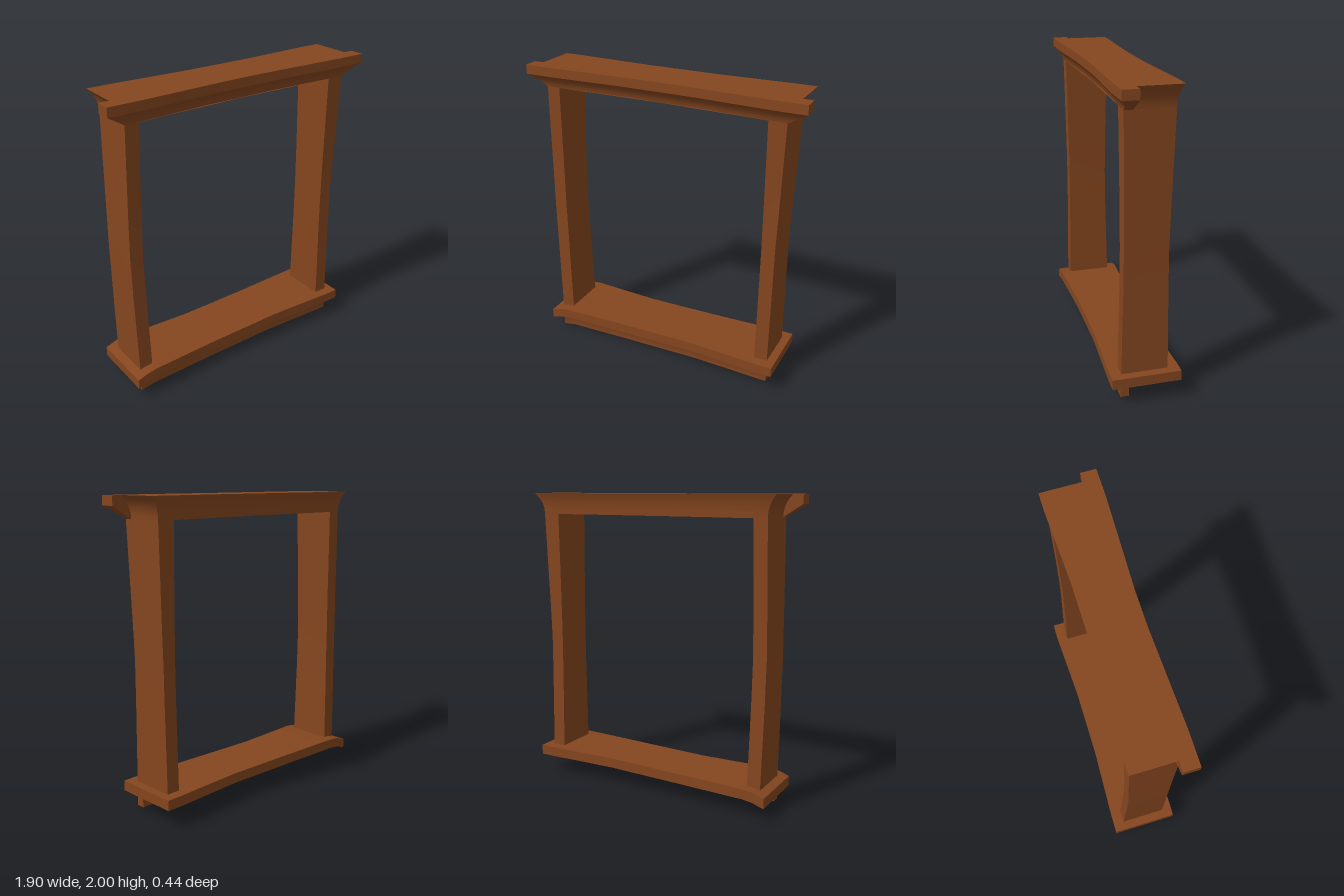
import * as THREE from 'three';
import { toCreasedNormals } from 'three/addons/utils/BufferGeometryUtils.js';

// Piecewise-linear lookup through [x, value] pairs
function along(pairs, x) {
  if (x <= pairs[0][0]) return pairs[0][1];
  for (let i = 1; i < pairs.length; i++) {
    const [x0, v0] = pairs[i - 1], [x1, v1] = pairs[i];
    if (x <= x1) return v0 + (v1 - v0) * (x - x0) / (x1 - x0);
  }
  return pairs[pairs.length - 1][1];
}

// Closed solid through a list of rings, capped at both ends
function loft(rings) {
  const tris = [];
  const n = rings[0].length;
  for (let r = 0; r < rings.length - 1; r++) {
    for (let i = 0; i < n; i++) {
      const j = (i + 1) % n;
      const a = rings[r][i], b = rings[r][j], c = rings[r + 1][j], d = rings[r + 1][i];
      tris.push([a, b, c], [a, c, d]);
    }
  }
  for (const [ring, flip] of [[rings[0], true], [rings[rings.length - 1], false]]) {
    const mid = ring.reduce((s, p) => s.add(p), new THREE.Vector3()).divideScalar(n);
    for (let i = 0; i < n; i++) {
      const a = ring[i], b = ring[(i + 1) % n];
      tris.push(flip ? [mid, b, a] : [mid, a, b]);
    }
  }
  // Face outwards whichever way the rings run
  const cross = new THREE.Vector3();
  const volume = tris.reduce((s, [a, b, c]) => s + a.dot(cross.crossVectors(b, c)), 0);
  const points = tris.flatMap(([a, b, c]) => (volume < 0 ? [a, c, b] : [a, b, c]));
  const geometry = new THREE.BufferGeometry().setFromPoints(points);
  return toCreasedNormals(geometry, 0.5);
}

const v = (x, y, z) => new THREE.Vector3(x, y, z);

// Hand-hewn waist: boards get shallower towards the middle of the span
const waist = (x) => 0.022 * along([[0.25, 1], [0.75, 0]], Math.abs(x));

// Level outline with one straight edge and one waisted edge
function levelRing(y, left, right, straightZ, waistedZ) {
  const xs = [left, -0.75, -0.5, -0.25, 0, 0.25, 0.5, 0.75, right];
  const side = Math.sign(waistedZ - straightZ);
  const edge = xs.map((x) => v(x, y, waistedZ - side * waist(x)));
  return [...edge, v(right, y, straightZ), v(left, y, straightZ)];
}

// Height of the sagging sill top
const sillTop = (x) => along([[-0.88, 0.15], [-0.8, 0.176], [-0.735, 0.184],
  [-0.2, 0.185], [0.3, 0.197], [0.85, 0.197]], x);

export function createModel() {
  const wood = new THREE.MeshStandardMaterial({ color: 0x85461f });
  wood.name = 'brown wood';
  const group = new THREE.Group();
  group.name = 'windowFrame';
  const add = (name, rings) => {
    const mesh = new THREE.Mesh(loft(rings), wood);
    mesh.name = name;
    group.add(mesh);
  };

  // Posts: slightly crooked, pinched at mid height
  const heights = [0.15, 0.45, 0.75, 1, 1.25, 1.55, 1.86];
  const post = (inner, outer) => heights.map((y) => {
    const pinch = along([[0.18, 0], [0.75, 0.011], [1, 0.013], [1.25, 0.011], [1.86, 0]], y);
    const front = 0.152 - pinch, back = -0.15 + pinch;
    return [v(inner(y), y, front), v(outer(y), y, front),
      v(outer(y), y, back), v(inner(y), y, back)];
  });
  const bow = (y) => along([[0.18, 0], [0.6, 0.01], [1, 0.015], [1.4, 0.009], [1.86, 0]], y);
  add('rightPost', post((y) => -0.735 - bow(y), (y) => -0.825 - bow(y)));
  add('leftPost', post(() => 0.705, (y) => along([[1, 0.795], [1.86, 0.82]], y)));

  // Lintel: flares out to the back and the ends
  add('lintel', [0, 0.25, 0.5, 0.7, 0.85, 1].map((t) => {
    const flare = t ** 2.4;
    return levelRing(1.86 + 0.14 * t, -0.825 - 0.06 * flare, 0.82 + 0.065 * flare,
      0.102, -0.15 - 0.025 * flare);
  }));

  // Crown moulding: hollow curve below a square lip
  const cove = [0, 0.25, 0.5, 0.75, 1].map((t) => levelRing(1.86 + 0.08 * t,
    -0.825 - 0.125 * t, 0.82 + 0.13 * t, 0.1, 0.152 + 0.048 * t ** 1.7));
  add('crown', [...cove, levelRing(2, -0.95, 0.95, 0.1, 0.2)]);

  // Sill: sagging board
  const sillXs = [-0.88, -0.8, -0.735, -0.5, -0.25, 0, 0.25, 0.5, 0.75, 0.85];
  add('sill', sillXs.map((x) => {
    const top = sillTop(x), bottom = top - 0.067;
    const front = 0.22 - waist(x), back = -0.222 + waist(x);
    return [v(x, bottom, back), v(x, bottom, front), v(x, top, front), v(x, top, back)];
  }));

  // Apron: strip under the sill with a small cove
  const apronProfile = [[0.1, -0.165], [0.155, -0.165], [0.155, -0.107],
    [0.163, -0.092], [0.178, -0.078], [0.2, -0.066], [0.1, -0.066]];
  const apronXs = [-0.825, -0.735, -0.5, -0.25, 0, 0.25, 0.5, 0.75, 0.795];
  add('apron', apronXs.map((x) =>
    apronProfile.map(([z, y]) => v(x, sillTop(x) + y, z - waist(x) * 0.8))));

  return group;
}
